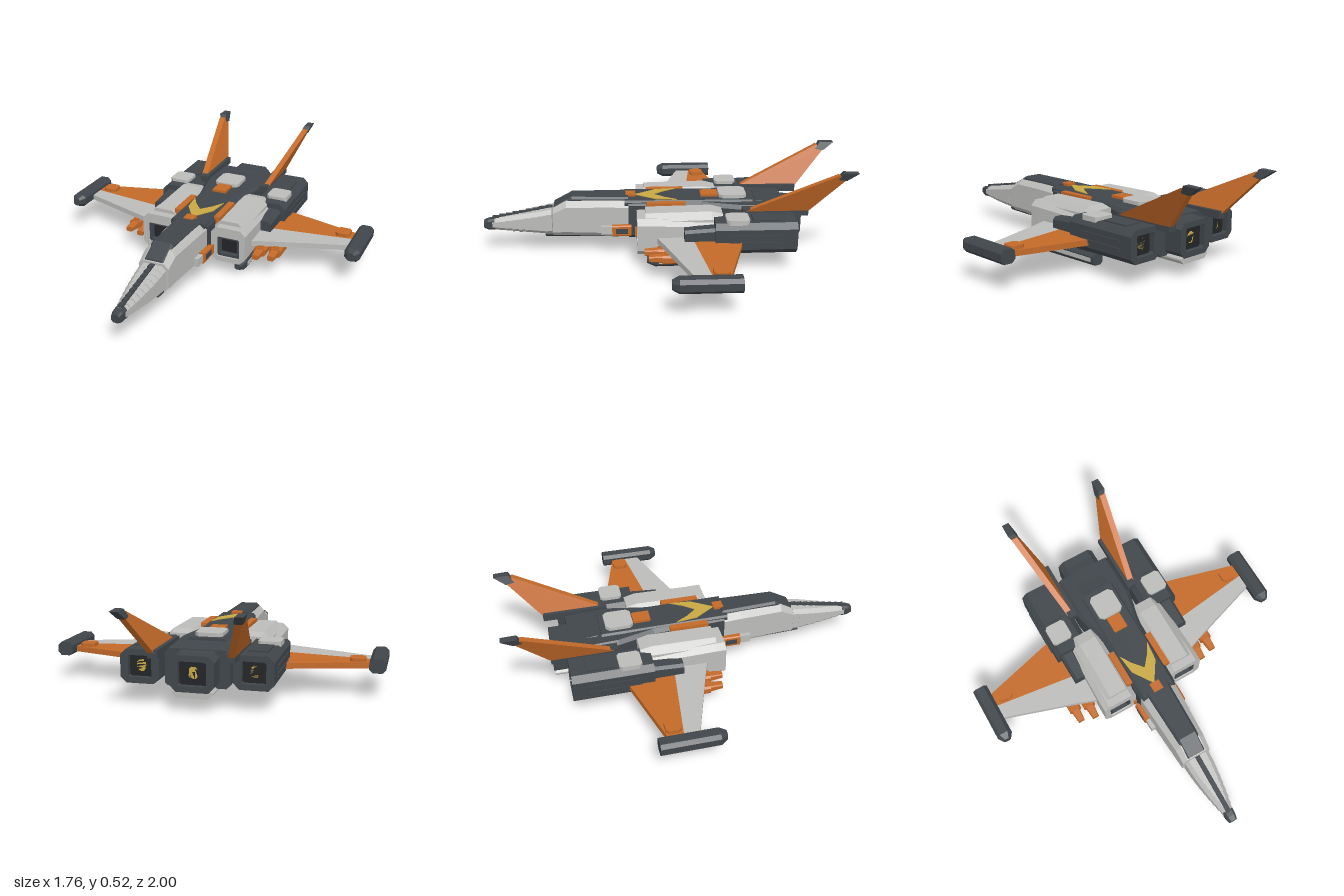
import * as THREE from 'three';

const mat = (name, color) => {
  const m = new THREE.MeshStandardMaterial({ color });
  m.name = name;
  return m;
};

export function createModel() {
  const light = mat('light grey', 0xbcbcba), dark = mat('dark grey', 0x40464b);
  const orange = mat('orange', 0xc46a29), yellow = mat('yellow', 0xc8a844), black = mat('black', 0x222427);
  const root = new THREE.Group();
  root.name = 'starfighter';

  const add = (name, geo, m) => {
    const mesh = new THREE.Mesh(geo, m);
    mesh.name = name;
    root.add(mesh);
    return mesh;
  };
  // box given by its limits on each axis
  const box = (name, m, x0, x1, y0, y1, z0, z1) => {
    const g = new THREE.BoxGeometry(Math.abs(x1 - x0), y1 - y0, z1 - z0);
    g.translate((x0 + x1) / 2, (y0 + y1) / 2, (z0 + z1) / 2);
    return add(name, g, m);
  };
  // chamfered rectangle, counter-clockwise
  const octagon = (x, y0, y1, hw, c) => [
    [x + hw, y0 + c], [x + hw, y1 - c], [x + hw - c, y1], [x - hw + c, y1],
    [x - hw, y1 - c], [x - hw, y0 + c], [x - hw + c, y0], [x + hw - c, y0]];
  // chamfered body through sections [z, centre x, y0, y1, half width, chamfer], z rising
  const loft = (name, m, sections) => {
    const pos = [], idx = [], n = sections.length;
    for (const [z, ...s] of sections) for (const [x, y] of octagon(...s)) pos.push(x, y, z);
    for (let i = 0; i < n - 1; i++) for (let k = 0; k < 8; k++) {
      const a = i * 8 + k, b = i * 8 + (k + 1) % 8;
      idx.push(a, b, b + 8, a, b + 8, a + 8);
    }
    const e = (n - 1) * 8;
    for (let k = 1; k < 7; k++) idx.push(0, k + 1, k, e, e + k, e + k + 1);
    const g = new THREE.BufferGeometry();
    g.setAttribute('position', new THREE.Float32BufferAttribute(pos, 3));
    g.setIndex(idx);
    const flat = g.toNonIndexed();
    flat.computeVertexNormals();
    return add(name, flat, m);
  };
  const vecs = pts => pts.map(p => new THREE.Vector2(...p));
  const extrude = (shape, depth) => new THREE.ExtrudeGeometry(shape, { depth, bevelEnabled: false });
  // hollow chamfered rim
  const rim = (name, m, sec, hole, z0, z1) => {
    const shape = new THREE.Shape(vecs(octagon(...sec)));
    shape.holes.push(new THREE.Path(vecs(octagon(...hole))));
    return add(name, extrude(shape, z1 - z0).translate(0, 0, z0), m);
  };
  // flat plate from [x, z] points
  const plate = (name, m, pts, y0, y1) => add(name,
    extrude(new THREE.Shape(vecs(pts.map(([x, z]) => [x, -z]))), y1 - y0)
      .rotateX(-Math.PI / 2).translate(0, y0, 0), m);
  // rounded pad lying flat
  const pad = (name, m, x0, x1, y0, y1, z0, z1, c = 0.015) => {
    const pts = octagon((x0 + x1) / 2, z0, z1, Math.abs(x1 - x0) / 2, c);
    return plate(name, m, pts, y0, y1);
  };
  // engine exhaust at the rear end
  const exhaust = (x, y0, y1, hw, z) => {
    rim('exhaustRim', dark, [x, y0, y1, hw, 0.03], [x, y0 + 0.03, y1 - 0.03, hw - 0.04, 0.008], z, z + 0.05);
    box('exhaustWell', black, x - hw + 0.02, x + hw - 0.02, y0 + 0.02, y1 - 0.02, z + 0.03, z + 0.05);
    pad('exhaustGlow', yellow, -0.024, 0.024, 0, 0.008, -0.03, 0.03, 0.014)
      .geometry.rotateX(Math.PI / 2).translate(x, (y0 + y1) / 2, z + 0.03);
  };

  // Nose, in stepped slices
  const steps = 9;
  for (let i = 0; i < steps; i++) {
    const t = i / (steps - 1), z = 0.62 + i * 0.037;
    const hw = 0.073 - 0.04 * t ** 1.5, top = 0.255 - 0.055 * t, bottom = 0.115 + 0.012 * t;
    loft('noseSlice', light, [[z, 0, bottom, top, hw, 0.022], [z + 0.037, 0, bottom, top - 0.005, hw - 0.003, 0.02]]);
    box('noseSpine', dark, -0.013, 0.013, top - 0.01, top + 0.005, z, z + 0.037);
  }
  loft('noseTip', dark, [[0.94, 0, 0.13, 0.195, 0.03, 0.012], [0.975, 0, 0.13, 0.19, 0.027, 0.01], [1, 0, 0.138, 0.182, 0.022, 0.01]]);

  // Forward fuselage and canopy
  loft('forwardFuselage', light, [[0.1, 0, 0.1, 0.305, 0.108, 0.03], [0.3, 0, 0.1, 0.31, 0.1, 0.03],
    [0.54, 0, 0.105, 0.308, 0.087, 0.03], [0.615, 0, 0.108, 0.265, 0.083, 0.025]]);
  loft('canopy', dark, [[0.2, 0, 0.28, 0.325, 0.07, 0.012], [0.51, 0, 0.28, 0.328, 0.06, 0.012], [0.61, 0, 0.24, 0.275, 0.055, 0.01]]);
  loft('chinKeel', dark, [[0.1, 0, 0.09, 0.13, 0.075, 0.012], [0.66, 0, 0.097, 0.125, 0.055, 0.01]]);
  box('canopyLatch', orange, -0.028, 0.028, 0.3, 0.33, 0.16, 0.215);

  // Central body, belly and dorsal deck
  loft('centreBody', dark, [[-0.65, 0, 0.1, 0.29, 0.165, 0.02], [-0.4, 0, 0.1, 0.3, 0.165, 0.02],
    [-0.2, 0, 0.1, 0.305, 0.12, 0.02], [0.2, 0, 0.1, 0.312, 0.108, 0.02]]);
  loft('dorsalDeck', dark, [[-0.48, 0, 0.28, 0.31, 0.1, 0.01], [0.22, 0, 0.28, 0.316, 0.1, 0.01]]);
  loft('centreEngine', dark, [[-0.7, 0, 0.1, 0.28, 0.11, 0.03], [-0.5, 0, 0.1, 0.3, 0.11, 0.03]]);
  exhaust(0, 0.1, 0.28, 0.11, -0.75);
  loft('belly', light, [[-0.745, 0, 0.07, 0.118, 0.1, 0.02], [0.11, 0, 0.07, 0.118, 0.1, 0.02], [0.16, 0, 0.085, 0.118, 0.095, 0.015]]);
  box('dorsalBlock', orange, -0.04, 0.04, 0.3, 0.326, -0.295, -0.2);
  pad('dorsalPad', light, -0.072, 0.072, 0.3, 0.33, -0.45, -0.3, 0.02);
  plate('chevron', yellow, [[-0.088, -0.065], [-0.05, 0], [0, 0.06], [0.05, 0], [0.088, -0.065],
    [0.075, 0.05], [0, 0.165], [-0.075, 0.05]], 0.312, 0.319);

  for (const s of [1, -1]) {
    // Intake nacelle
    const nx = s * 0.207;
    loft('nacelle', light, [[-0.25, nx, 0.09, 0.265, 0.09, 0.03], [0.1, nx, 0.08, 0.28, 0.098, 0.03]]);
    rim('intakeLip', light, [nx, 0.08, 0.28, 0.098, 0.03], [nx, 0.108, 0.225, 0.065, 0.008], 0.1, 0.155);
    rim('intakeLiner', dark, [nx, 0.108, 0.225, 0.065, 0.008], [nx, 0.122, 0.212, 0.05, 0.005], 0.1, 0.145);
    box('intakeWell', black, nx - 0.06, nx + 0.06, 0.115, 0.22, 0.1, 0.115);
    loft('nacelleTop', light, [[-0.3, s * 0.195, 0.22, 0.29, 0.068, 0.02], [-0.24, s * 0.195, 0.22, 0.305, 0.085, 0.035],
      [0.11, s * 0.195, 0.22, 0.3, 0.085, 0.035]]);
    box('nacelleTrim', orange, s * 0.1, s * 0.135, 0.25, 0.312, -0.11, 0.1);
    box('innerTrim', orange, s * 0.1, s * 0.125, 0.12, 0.17, 0.05, 0.165);
    loft('wingRoot', dark, [[-0.25, s * 0.32, 0.12, 0.25, 0.042, 0.015], [-0.09, s * 0.32, 0.12, 0.24, 0.04, 0.015]]);

    // Cheek vents
    rim('cheekVent', orange, [s * 0.112, 0.12, 0.182, 0.018, 0.006], [s * 0.112, 0.135, 0.167, 0.008, 0.002], 0.185, 0.29);
    box('ventFill', dark, s * 0.098, s * 0.133, 0.137, 0.165, 0.205, 0.27);
    box('cheekStep', light, s * 0.08, s * 0.122, 0.13, 0.175, 0.29, 0.35);

    // Outer engine
    const ex = s * 0.285;
    loft('outerEngine', dark, [[-0.63, ex, 0.11, 0.28, 0.1, 0.03], [-0.25, ex, 0.11, 0.28, 0.1, 0.03]]);
    exhaust(ex, 0.11, 0.28, 0.1, -0.68);
    for (const y of [0.165, 0.205]) box('engineRidge', dark, s * 0.375, s * 0.391, y, y + 0.018, -0.6, -0.32);
    box('engineTopRidge', dark, s * 0.24, s * 0.34, 0.275, 0.288, -0.6, -0.45);
    pad('enginePad', light, s * 0.25, s * 0.367, 0.27, 0.297, -0.43, -0.31);

    // Wing
    plate('wingFront', light, [[s * 0.28, -0.13], [s * 0.28, 0.06], [s * 0.4, 0.015], [s * 0.82, -0.125], [s * 0.82, -0.2]], 0.152, 0.182);
    plate('wingRear', orange, [[s * 0.28, -0.13], [s * 0.82, -0.2], [s * 0.82, -0.27], [s * 0.36, -0.395], [s * 0.28, -0.395]], 0.152, 0.182);
    pad('wingPad', orange, s * 0.695, s * 0.775, 0.18, 0.2, -0.28, -0.2);
    loft('wingtipPod', dark, [[-0.33, s * 0.84, 0.14, 0.213, 0.042, 0.018], [-0.03, s * 0.84, 0.14, 0.213, 0.042, 0.018],
      [0.005, s * 0.84, 0.155, 0.2, 0.02, 0.01]]);

    // Guns under the wing
    for (const [x, z] of [[0.35, 0.12], [0.43, 0.1]]) {
      loft('gunBody', orange, [[z - 0.17, s * x, 0.1, 0.148, 0.033, 0.01], [z - 0.07, s * x, 0.1, 0.148, 0.033, 0.01]]);
      loft('gunBarrel', orange, [[z - 0.07, s * x, 0.105, 0.143, 0.024, 0.006], [z, s * x, 0.11, 0.138, 0.018, 0.005]]);
      box('gunMount', orange, s * x - 0.015, s * x + 0.015, 0.14, 0.155, z - 0.15, z - 0.08);
    }

    // Landing skid
    const kx = s * 0.245;
    loft('skid', dark, [[-0.31, kx, 0.003, 0.065, 0.034, 0.015], [0.06, kx, 0, 0.065, 0.034, 0.015], [0.105, kx, 0.018, 0.05, 0.018, 0.008]]);
    for (const d of [-1, 1]) box('skidStripe', light, kx + d * 0.032, kx + d * 0.037, 0.022, 0.043, -0.29, 0.04);
    box('skidStrut', dark, kx - 0.018, kx + 0.018, 0.06, 0.12, -0.26, 0.02);

    // Leaning tail fin from [z, y] outlines
    const fin = (name, m, pts, w) => {
      const g = extrude(new THREE.Shape(vecs(pts.map(([z, y]) => [-z, y]))), w)
        .translate(0, 0, -w / 2).rotateY(Math.PI / 2);
      const p = g.attributes.position;
      for (let i = 0; i < p.count; i++) p.setX(i, p.getX(i) + s * (0.195 + 0.375 * (p.getY(i) - 0.28)));
      g.computeVertexNormals();
      add(name, g, m);
    };
    fin('tailFin', orange, [[-0.41, 0.28], [-0.76, 0.28], [-0.94, 0.485], [-0.9, 0.51]], 0.034);
    fin('tailFinTip', dark, [[-0.895, 0.485], [-0.94, 0.478], [-1, 0.522], [-0.92, 0.525]], 0.04);
    box('finRail', dark, s * 0.165, s * 0.215, 0.26, 0.3, -0.765, -0.41);
  }
  return root;
}
